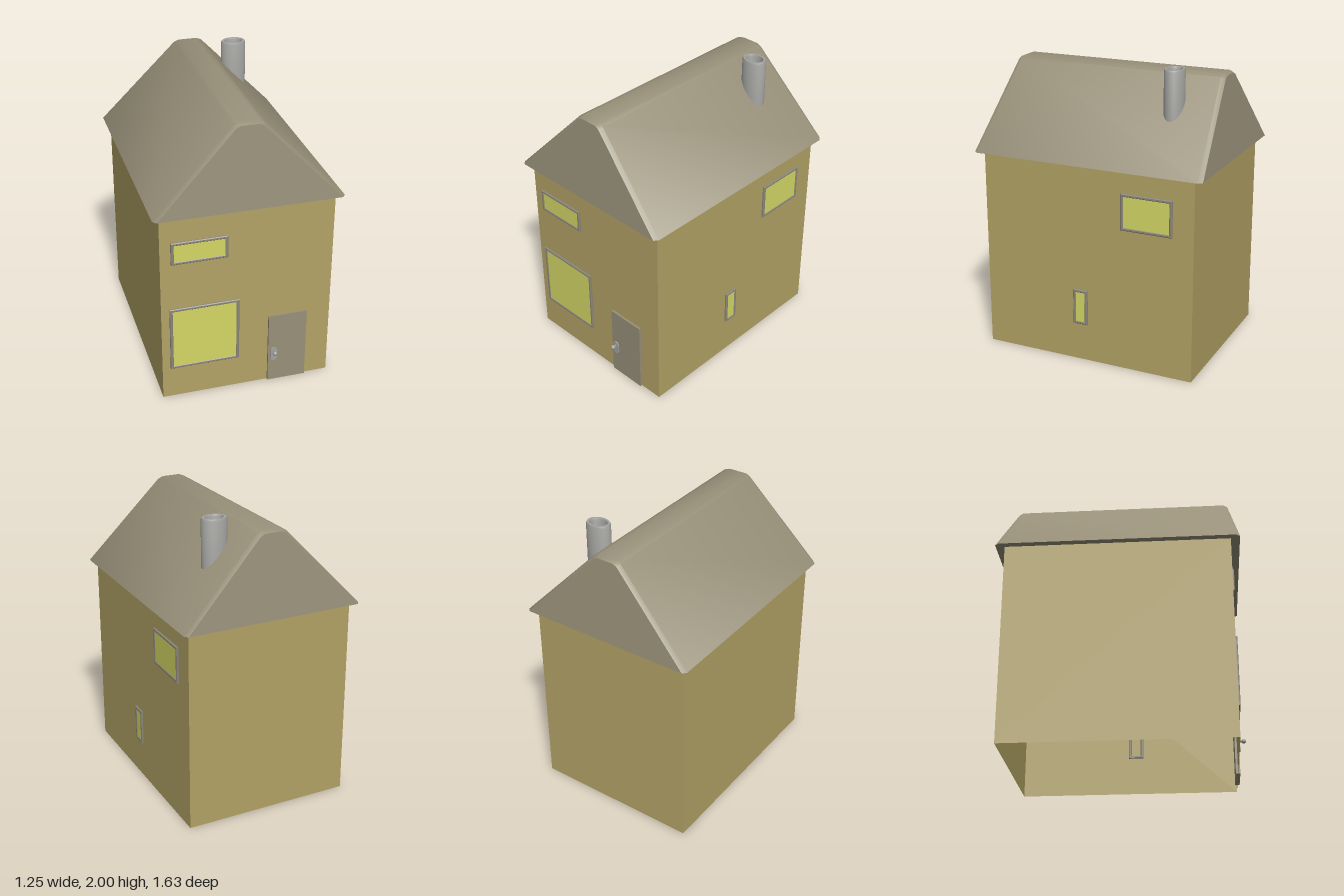
import * as THREE from 'three';
import { toCreasedNormals } from 'three/addons/utils/BufferGeometryUtils.js';

const mat = (name, color, side = THREE.FrontSide) => {
  const m = new THREE.MeshStandardMaterial({ color, side });
  m.name = name;
  return m;
};

const W = 0.58, D = 0.755, EAVE = 1.385;

function add(parent, name, geometry, material, x = 0, y = 0, z = 0) {
  const mesh = new THREE.Mesh(geometry, material);
  mesh.name = name;
  mesh.position.set(x, y, z);
  parent.add(mesh);
  return mesh;
}

function rect(Type, w, h) {
  const r = new Type();
  r.moveTo(-w / 2, -h / 2);
  r.lineTo(w / 2, -h / 2);
  r.lineTo(w / 2, h / 2);
  r.lineTo(-w / 2, h / 2);
  r.closePath();
  return r;
}

// Roof: bevelled gable prism whose ends lean inwards towards the ridge
function roofGeometry() {
  const outer = [[0.627, EAVE], [0.1, 1.935], [0.065, 1.95]];
  const inner = [[0.605, EAVE], [0.09, 1.922], [0.06, 1.937]];
  const section = (half, inset, side) => {
    const left = half.map(([x, y]) => [-x, y]);
    const right = [...half].reverse();
    return [...left, ...right].map(([x, y]) =>
      [x, y, side * (0.815 - inset - 0.06 * (y - EAVE) / 0.565)]);
  };
  const rings = [section(inner, 0, 1), section(outer, 0.027, 1),
    section(outer, 0.027, -1), section(inner, 0, -1)];
  const n = 6, pos = [];
  const tri = (a, b, c) => pos.push(...a, ...b, ...c);
  for (let r = 0; r < 3; r++) {
    for (let i = 0; i < n; i++) {
      const j = (i + 1) % n, a = rings[r], b = rings[r + 1];
      tri(a[i], a[j], b[j]);
      tri(a[i], b[j], b[i]);
    }
  }
  for (let i = 1; i < n - 1; i++) {
    tri(rings[0][0], rings[0][i + 1], rings[0][i]);
    tri(rings[3][0], rings[3][i], rings[3][i + 1]);
  }
  const g = new THREE.BufferGeometry();
  g.setAttribute('position', new THREE.Float32BufferAttribute(pos, 3));
  return toCreasedNormals(g, 0.6);
}

// Window facing +z: bevelled frame around a thin pane
function makeWindow(name, w, h, mats) {
  const g = new THREE.Group();
  g.name = name;
  const b = 0.005, border = 0.021;
  const shape = rect(THREE.Shape, w - 2 * b, h - 2 * b);
  shape.holes.push(rect(THREE.Path, w - 2 * border + 2 * b, h - 2 * border + 2 * b));
  const frame = new THREE.ExtrudeGeometry(shape,
    { depth: 0.008, bevelEnabled: true, bevelThickness: b, bevelSize: b, bevelSegments: 1 });
  add(g, 'windowFrame', frame, mats.trim);
  add(g, 'windowPane', new THREE.BoxGeometry(w - 0.03, h - 0.03, 0.008), mats.pane, 0, 0, 0.005);
  return g;
}

export function createModel() {
  const house = new THREE.Group();
  house.name = 'house';
  const wallMat = mat('wall ochre', 0xb3a366, THREE.DoubleSide);
  const roofMat = mat('roof taupe', 0x989079);
  const metal = mat('chimney grey', 0xa2a29f);
  const mats = { trim: mat('frame grey', 0x8b867a), pane: mat('pane yellow', 0xd5d866) };

  // Four walls, open underneath
  for (let i = 0; i < 4; i++) {
    const onSide = i % 2 === 1, angle = i * Math.PI / 2;
    const off = onSide ? W : D;
    const wall = add(house, ['frontWall', 'leftWall', 'backWall', 'rightWall'][i],
      new THREE.PlaneGeometry(2 * (onSide ? D : W), EAVE), wallMat,
      Math.sin(angle) * off, EAVE / 2, Math.cos(angle) * off);
    wall.rotation.y = angle;
  }

  add(house, 'roof', roofGeometry(), roofMat);

  // Oval hollow chimney
  const pts = [[1, 1.55], [1, 1.988], [0.93, 2], [0.75, 2], [0.68, 1.988], [0.68, 1.8], [0, 1.8]]
    .map(([x, y]) => new THREE.Vector2(x, y));
  const lathe = new THREE.LatheGeometry(pts, 32);
  lathe.scale(0.086, 1, 0.066);
  add(house, 'chimney', toCreasedNormals(lathe, 0.6), metal, 0.265, 0, -0.48);

  // Windows: [centre across, centre height, width, height]
  for (const [x, y, w, h] of [[-0.29, 0.465, 0.47, 0.47], [-0.322, 1.115, 0.375, 0.16]]) {
    const win = makeWindow('frontWindow', w, h, mats);
    win.position.set(x, y, D);
    house.add(win);
  }
  for (const [z, y, w, h] of [[-0.43, 1.11, 0.36, 0.25], [0.047, 0.388, 0.105, 0.25]]) {
    const win = makeWindow('sideWindow', w, h, mats);
    win.position.set(W, y, z);
    win.rotation.y = Math.PI / 2;
    house.add(win);
  }

  // Door, visible from both sides of the front wall
  add(house, 'door', new THREE.BoxGeometry(0.267, 0.523, 0.03), roofMat, 0.2825, 0.2615, D);

  // Rounded handle plate with stem and knob
  const plate = new THREE.Shape();
  plate.absarc(0, 0.028, 0.024, 0, Math.PI);
  plate.absarc(0, -0.028, 0.024, Math.PI, 2 * Math.PI);
  plate.closePath();
  add(house, 'handlePlate', new THREE.ExtrudeGeometry(plate,
    { depth: 0.01, bevelEnabled: false, curveSegments: 6 }), metal, 0.188, 0.217, 0.768);
  const stem = add(house, 'knobStem', new THREE.CylinderGeometry(0.007, 0.007, 0.03, 12),
    metal, 0.188, 0.238, 0.787);
  stem.rotation.x = Math.PI / 2;
  add(house, 'doorKnob', new THREE.SphereGeometry(0.016, 16, 12), metal, 0.188, 0.238, 0.803);

  return house;
}
